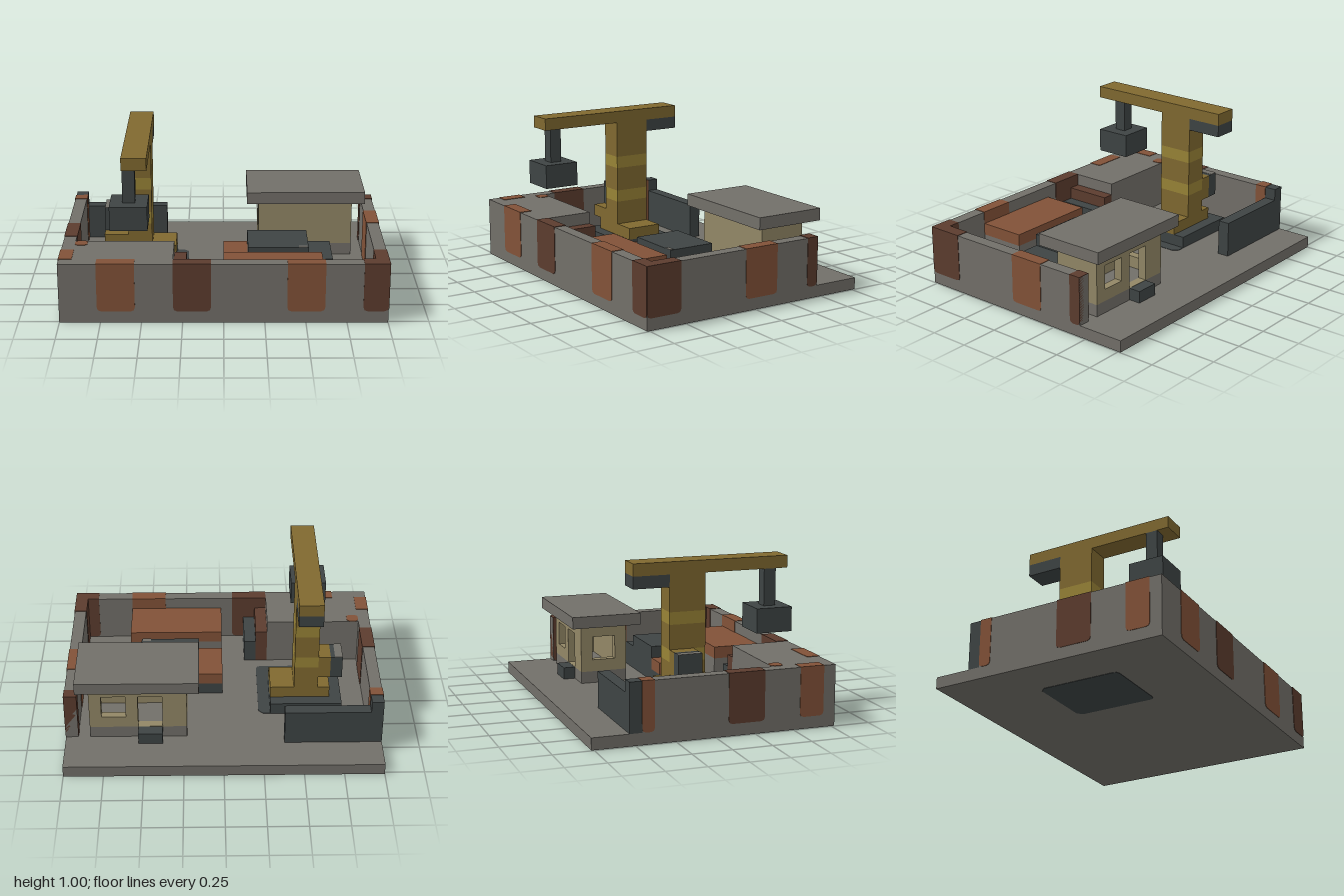
import * as THREE from 'three';

const U = 1 / 13; // modelling unit

export function createModel() {
  const model = new THREE.Group();
  model.name = 'craneYard';

  const paint = (name, color) => {
    const m = new THREE.MeshStandardMaterial({ color });
    m.name = name;
    return m;
  };
  const concrete = paint('concrete', 0x726f69);
  const rust = paint('rust', 0x825238);
  const darkRust = paint('darkRust', 0x5c3c2e);
  const slate = paint('slate', 0x3e4444);
  const yellow = paint('yellow', 0x806930);
  const brightYellow = paint('brightYellow', 0x988336);
  const plaster = paint('plaster', 0x928766);

  const add = (name, geometry, material, parent = model) => {
    const mesh = new THREE.Mesh(geometry, material);
    mesh.name = name;
    parent.add(mesh);
    return mesh;
  };
  // Box from min to max corner, in units
  const box = (name, mat, x0, x1, y0, y1, z0, z1, parent) => {
    const g = new THREE.BoxGeometry((x1 - x0) * U, (y1 - y0) * U, (z1 - z0) * U);
    g.translate((x0 + x1) / 2 * U, (y0 + y1) / 2 * U, (z0 + z1) / 2 * U);
    return add(name, g, mat, parent);
  };
  const group = (name) => {
    const g = new THREE.Group();
    g.name = name;
    model.add(g);
    return g;
  };
  // Rectangle with cut corners; the upper ones are optional
  const chipped = (a0, a1, b0, b1, c, top) => {
    const t = top ? c : 0;
    return new THREE.Shape([
      [a0 + c, b0], [a1 - c, b0], [a1 - c * 0.25, b0 + c * 0.3], [a1, b0 + c], [a1, b1 - t], [a1 - t, b1],
      [a0 + t, b1], [a0, b1 - t], [a0, b0 + c], [a0 + c * 0.25, b0 + c * 0.3],
    ].map(([a, b]) => new THREE.Vector2(a * U, b * U)));
  };
  const slab = (shape, depth) => new THREE.ExtrudeGeometry(shape, { depth: depth * U, bevelEnabled: false });

  // Ground and perimeter walls
  box('ground', concrete, -13, 13, 0.03, 1, -10, 10);
  box('frontWall', concrete, -13, 13, 1, 5, 9, 10);
  box('leftWall', concrete, 12, 13, 1, 5, -6, 9);
  box('rightWall', concrete, -13, -12, 1, 5, -6, 9);
  box('cornerPlatform', concrete, -12, -4, 1, 5, 5, 9);

  // Rust patches that wrap over the walls
  const e = 0.04;
  for (const [mat, x0, x1] of [[rust, -10, -7], [darkRust, -4, -1], [rust, 5, 8], [darkRust, 11, 13]]) {
    const g = slab(chipped(x0, x1, 1, 5 + e, 0.35, false), 1 + 2 * e);
    g.translate(0, 0, (9 - e) * U);
    add('frontWallPatch', g, mat);
  }
  for (const [mat, x, z0, z1] of [
    [darkRust, 12, 7, 10], [rust, 12, -2, 1], [darkRust, 12, -6, -5],
    [rust, -13, 7, 9], [darkRust, -13, 1, 4], [rust, -13, -6, -5],
  ]) {
    const g = slab(chipped(-z1, -z0, 1, 5 + e, 0.3, false), 1 + 2 * e);
    g.rotateY(Math.PI / 2);
    g.translate((x - e) * U, 0, 0);
    add('sideWallPatch', g, mat);
  }
  const topPatch = slab(chipped(-12, -11, -6, -5, 0.25, true), 0.04);
  topPatch.rotateX(-Math.PI / 2);
  topPatch.translate(0, 5 * U, 0);
  add('platformPatch', topPatch, rust);

  // Dark patch showing on both faces of the ground
  const stain = slab(chipped(-9, -3, -4, 3, 0.4, true), 1.03);
  stain.rotateX(-Math.PI / 2);
  add('groundStain', stain, slate);

  // Steps up to the platform
  box('upperStep', darkRust, -4, -3, 1, 4, 5, 9);
  box('lowerStep', slate, -3, -2, 1, 3, 5, 9);

  // Rear gate with its post
  box('gate', slate, -12, -5, 1, 4, -7, -6);
  box('gatePost', slate, -13, -12, 1, 5, -7, -6);

  // Crane
  const crane = group('crane');
  box('craneFoot', slate, -10, -4, 1, 2, -3, 2, crane);
  box('craneBase', yellow, -9, -4, 2, 3, -2, 1, crane);
  for (const [mat, y0, y1] of [
    [yellow, 3, 5], [brightYellow, 5, 6], [yellow, 6, 8], [brightYellow, 8, 9], [yellow, 9, 12],
  ]) box('mast', mat, -8, -6, y0, y1, -2, 1, crane);
  box('jib', yellow, -8, -6, 12, 13, -5, 8, crane);
  box('counterweight', slate, -8, -6, 11, 12, -5, -2, crane);
  box('hoistCable', slate, -8, -7, 9, 12, 6, 7, crane);
  box('hangingLoad', slate, -9, -6, 7, 9, 5, 8, crane);

  // Operator's control box beside the mast
  box('controlArm', yellow, -9, -8, 4, 6, -2, 0, crane);
  box('controlBox', slate, -10, -9, 4, 6, -2, 0, crane);
  box('controlPanel', concrete, -10, -9.35, 6, 6.03, -2, 0, crane);
  box('controlLedge', yellow, -10, -8, 3, 4, 0, 1, crane);

  // Crate stack
  box('cratePallet', concrete, 0, 8, 1, 3, 5, 9);
  box('crateTop', rust, 0, 8, 3, 4, 5, 9);

  // Generator
  const generator = group('generator');
  box('generatorBase', slate, 0, 9, 1, 2, 0, 4, generator);
  box('generatorNose', rust, 0, 2, 2, 3, 0, 4, generator);
  box('generatorBody', slate, 2, 7, 2, 4, 0, 4, generator);
  box('generatorTail', slate, 7, 9, 2, 3, 0, 4, generator);
  box('generatorScuff', concrete, 6.2, 6.9, 4, 4.03, 3.65, 4, generator);

  // Hut: hollow, with openings on the back and right sides
  const hut = group('hut');
  const wall = (a0, a1, holes) => {
    const rect = (T, l, r, b, t) => {
      const s = new T();
      s.moveTo(l * U, b * U).lineTo(r * U, b * U).lineTo(r * U, t * U).lineTo(l * U, t * U).closePath();
      return s;
    };
    const s = rect(THREE.Shape, a0, a1, 2, 6);
    holes.forEach((h) => s.holes.push(rect(THREE.Path, ...h)));
    return slab(s, 0.7);
  };
  box('hutPlinth', concrete, 3, 11, 1, 2, -6, -2, hut);
  box('hutFrontWall', plaster, 3, 11, 2, 6, -2.7, -2, hut);
  box('hutLeftWall', plaster, 10.3, 11, 2, 6, -5.3, -2.7, hut);
  const backWall = wall(3, 11, [[8, 10, 3, 5], [5, 7, 2.02, 5]]);
  backWall.translate(0, 0, -6 * U);
  add('hutBackWall', backWall, plaster, hut);
  const rightWall = wall(2.7, 5.3, [[3, 5, 3, 5]]);
  rightWall.rotateY(Math.PI / 2);
  rightWall.translate(3 * U, 0, 0);
  add('hutRightWall', rightWall, plaster, hut);
  box('hutRoof', concrete, 2, 12, 6, 7, -7, -1, hut);
  box('doorStep', slate, 5, 7, 1, 2, -7, -6, hut);

  return model;
}
